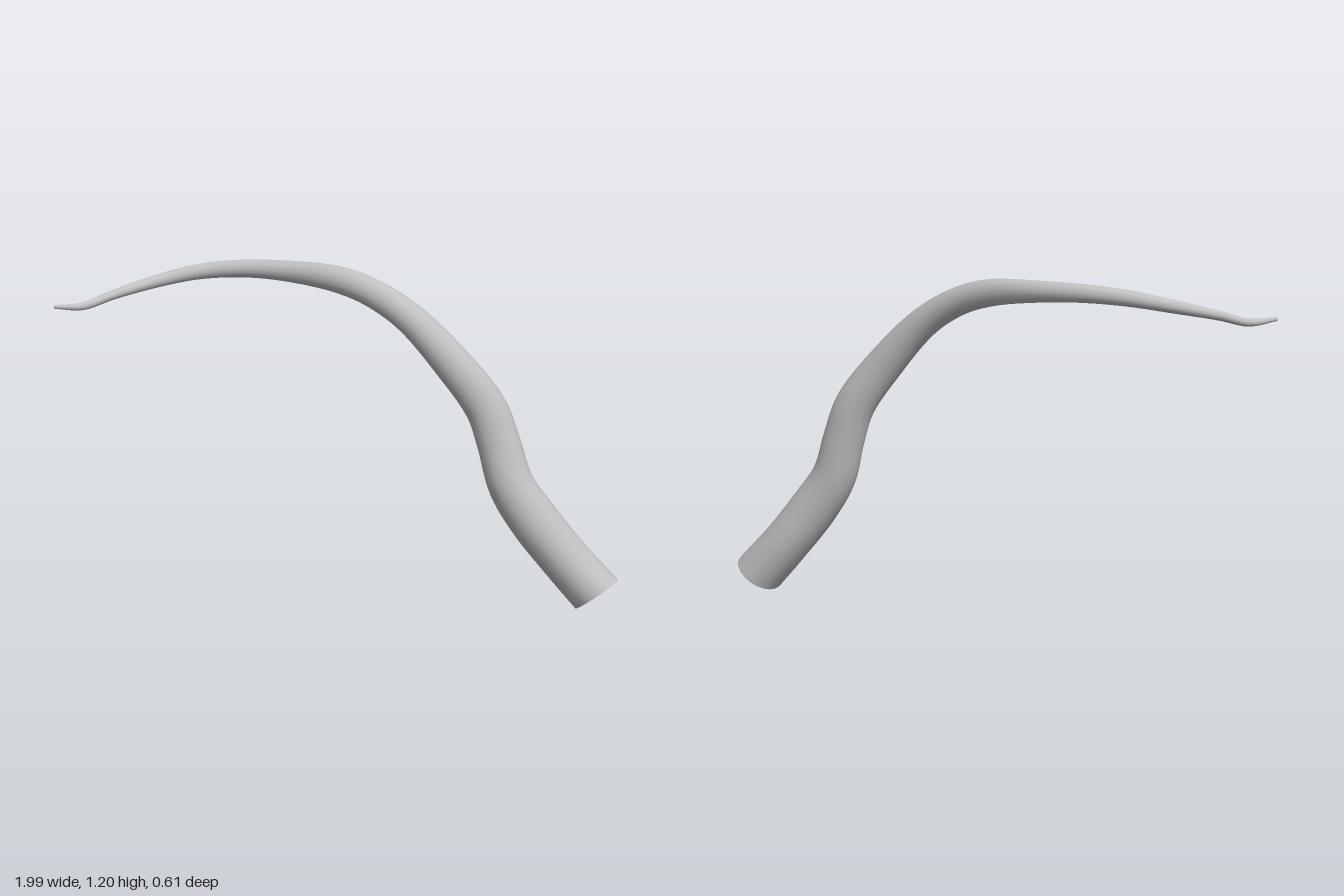
import * as THREE from 'three';

// Stations from the cut base to the tip: x, y, z, radius toward z, radius across
const STATIONS = [
  [0.915, 0.057, 0.21, 0.095, 0.092],
  [0.80, 0.185, 0.183, 0.088, 0.088],
  [0.69, 0.322, 0.163, 0.08, 0.088],
  [0.61, 0.445, 0.142, 0.073, 0.082],
  [0.565, 0.595, 0.117, 0.063, 0.077],
  [0.52, 0.717, 0.10, 0.06, 0.074],
  [0.40, 0.875, 0.075, 0.057, 0.067],
  [0.25, 1.03, 0.022, 0.05, 0.056],
  [0.12, 1.11, -0.04, 0.043, 0.051],
  [0, 1.147, -0.105, 0.038, 0.048],
  [-0.2, 1.162, -0.215, 0.033, 0.037],
  [-0.35, 1.161, -0.265, 0.028, 0.032],
  [-0.5, 1.147, -0.281, 0.025, 0.028],
  [-0.65, 1.118, -0.25, 0.022, 0.023],
  [-0.8, 1.083, -0.175, 0.018, 0.017],
  [-0.9, 1.055, -0.115, 0.013, 0.014],
  [-0.995, 1.063, -0.062, 0.006, 0.007],
];
const SIDES = 20;
const RINGS = 96;
const CUT_RINGS = 8;
const CUT_AXIS = new THREE.Vector3(-0.55, 0.79, -0.28).normalize();

function buildRings() {
  const path = new THREE.CatmullRomCurve3(STATIONS.map(([x, y, z]) => new THREE.Vector3(x, y, z)));
  const radii = new THREE.CatmullRomCurve3(STATIONS.map((s) => new THREE.Vector3(s[3], s[4], 0)), false, 'catmullrom');
  const rings = [];
  for (let i = 0; i <= RINGS; i++) {
    const t = i / RINGS;
    const center = path.getPoint(t);
    const size = radii.getPoint(t);
    // The rings near the base tilt gradually into the slanted cut
    const axis = path.getTangent(t).lerp(CUT_AXIS, Math.max(0, 1 - i / CUT_RINGS)).normalize();
    const u = new THREE.Vector3(0, 0, 1).addScaledVector(axis, -axis.z).normalize();
    const v = new THREE.Vector3().crossVectors(axis, u);
    const points = [];
    for (let j = 0; j < SIDES; j++) {
      const a = (j / SIDES) * Math.PI * 2;
      points.push(center.clone()
        .addScaledVector(u, Math.cos(a) * size.x)
        .addScaledVector(v, Math.sin(a) * size.y));
    }
    rings.push({ center, points });
  }
  return rings;
}

function makeGeometry(points, index) {
  const geometry = new THREE.BufferGeometry().setFromPoints(points);
  geometry.setIndex(index);
  geometry.computeVertexNormals();
  return geometry;
}

export function createModel() {
  const group = new THREE.Group();
  group.name = 'curvedHorn';
  const grey = new THREE.MeshStandardMaterial({ color: 0xc0c0c0 });
  grey.name = 'plain grey';
  const rings = buildRings();

  // Tapering body, closed with a small rounded tip
  const points = rings.flatMap((ring) => ring.points);
  const index = [];
  for (let i = 0; i < RINGS; i++) {
    for (let j = 0; j < SIDES; j++) {
      const k = (j + 1) % SIDES;
      const a = i * SIDES + j, b = i * SIDES + k;
      index.push(a, b, a + SIDES, b, b + SIDES, a + SIDES);
    }
  }
  const last = rings[RINGS].center;
  const direction = last.clone().sub(rings[RINGS - 1].center).normalize();
  const tip = points.push(last.clone().addScaledVector(direction, 0.004)) - 1;
  for (let j = 0; j < SIDES; j++) {
    index.push(RINGS * SIDES + j, RINGS * SIDES + (j + 1) % SIDES, tip);
  }
  const body = new THREE.Mesh(makeGeometry(points, index), grey);
  body.name = 'hornBody';
  group.add(body);

  // Flat slanted cut at the base
  const capIndex = [];
  for (let j = 0; j < SIDES; j++) capIndex.push(0, 1 + (j + 1) % SIDES, 1 + j);
  const cap = new THREE.Mesh(makeGeometry([rings[0].center, ...rings[0].points], capIndex), grey);
  cap.name = 'baseCut';
  group.add(cap);

  return group;
}
